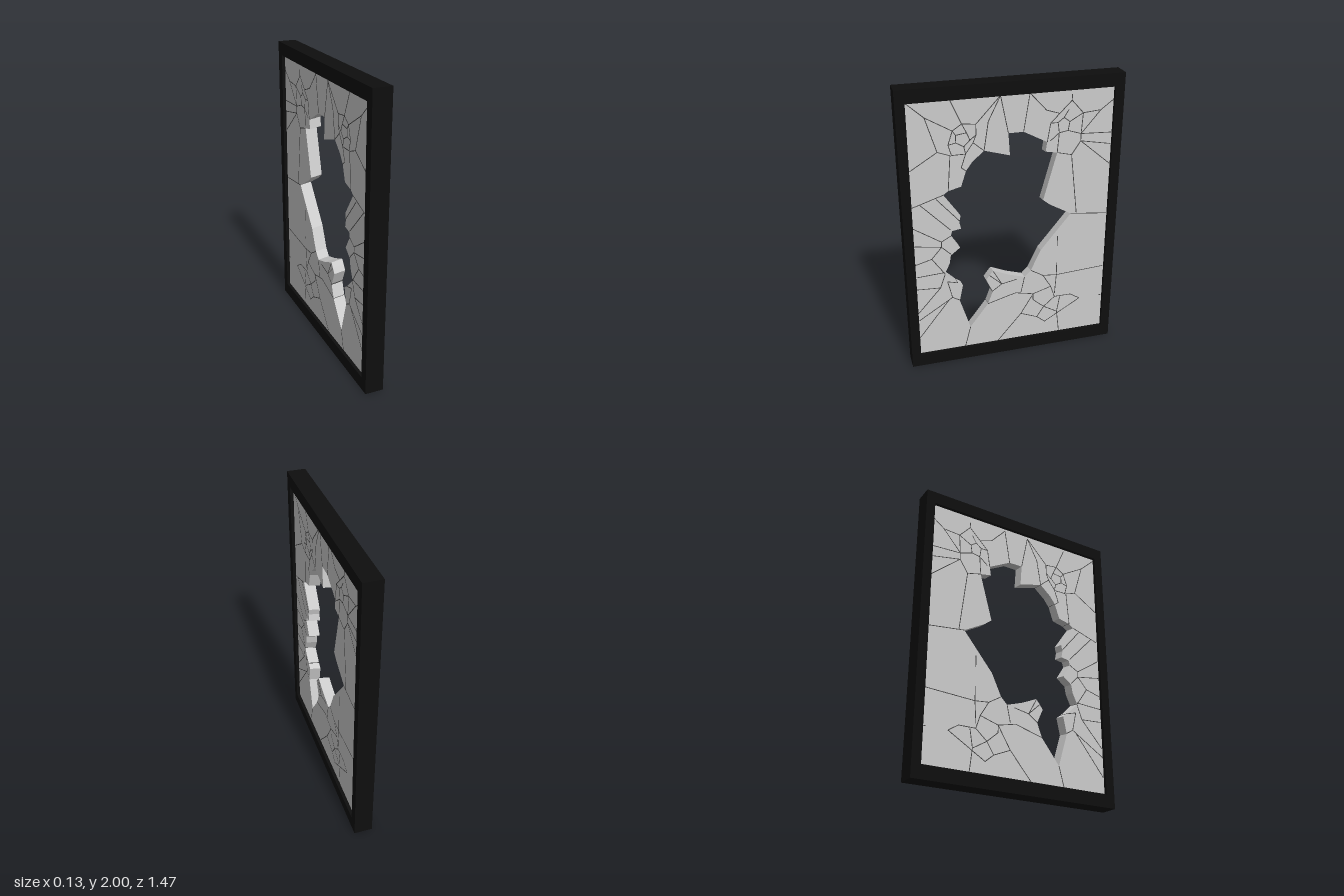
import * as THREE from 'three';
import { mergeGeometries } from 'three/addons/utils/BufferGeometryUtils.js';

const FRAME_DEPTH = 0.126, GLASS_DEPTH = 0.08;

// Outlines are drawn in hundredths as [u, y] pairs, where u runs toward -z.
const HOLE = [
  -3, 166, 7, 166, 23, 157.5, 22, 151, 30, 149.5, 21, 116.5, 26, 112.5, 41, 104,
  20, 78.5, 13, 63.5, 8.5, 59, -2.5, 62.5, -14, 67.5, -16.5, 64.5, -19, 61,
  -14.5, 51, -18, 41.5, -31, 24.5, -38, 47.5, -35.5, 59.5, -39, 62, -47.5, 70.5,
  -44, 78, -43, 84, -36.5, 89, -42.5, 98.5, -41.5, 102, -35.5, 103, -36.5, 108,
  -35.5, 112.5, -46.5, 128.5, -43, 131, -34.5, 133, -31, 143.5, -27, 149,
  -19, 156, -2, 151];

// Crack polylines, grouped by impact area
const CRACKS = {
  upperLeftCracks: [
    [-67, 191, -56, 181, -39, 171], [-56, 181, -49, 158], [-67, 147, -49, 158, -41, 155],
    [-40, 191, -33, 175], [-8, 191, -24, 174], [-8, 191, -3, 166], [-8, 191, -16, 175, -19, 156],
    [-39, 171, -33, 175, -24, 174, -24, 167, -26, 162, -31, 155, -40, 155, -42, 162, -39, 171],
    [-37, 168, -30, 169, -28, 164, -32, 160, -37, 163, -37, 168],
    [-37, 168, -39, 171], [-30, 169, -33, 175], [-28, 164, -24, 167], [-32, 160, -31, 155],
    [-37, 163, -42, 162], [-41, 155, -43, 131], [-31, 155, -34, 146, -31, 143.5],
    [-26, 162, -19, 156]],
  upperRightCracks: [
    [11, 191, 22, 179, 31, 176], [11, 191, 7, 166], [23, 157.5, 25, 170, 31, 176, 39, 184, 47, 175],
    [67, 182, 59, 176, 47, 175], [59, 176, 46, 161], [39, 184, 39, 188], [47, 175, 46, 161, 46, 156],
    [30, 170, 34, 173, 38, 170, 37, 164, 31, 163, 30, 170], [34, 173, 37, 178], [38, 170, 47, 175],
    [37, 164, 46, 161], [31, 163, 25, 158], [30, 170, 25, 170], [31, 163, 30, 150],
    [46, 161, 67, 160], [46, 156, 67, 152], [46, 156, 67, 138], [46, 156, 40, 147, 45, 104],
    [30, 149.5, 40, 147], [41, 104, 67, 101]],
  leftCracks: [
    [-67, 122, -62, 123.5, -46.5, 128.5], [-62, 123.5, -42.5, 103], [-51, 126, -36.5, 109],
    [-67, 107, -49, 95, -42.5, 98.5], [-49, 95, -49, 91, -43, 85], [-67, 94, -49, 91],
    [-67, 80, -56, 83, -49, 91], [-56, 83, -47.5, 70.5], [-67, 70.5, -47.5, 71.5],
    [-67, 61, -51, 60, -47.5, 70], [-67, 42, -51, 60], [-67, 36, -43, 51, -38, 48],
    [-67, 22, -45, 50], [-43, 51, -46, 64, -39, 62]],
  lowerCracks: [
    [-35, 9, -31, 24.5], [-11, 9, 6, 29, 15, 44], [-18, 41.5, 2, 47, 15, 44], [6, 47, 8.5, 59],
    [15, 44, 28, 48, 31, 39, 23, 32, 15, 39, 15, 44], [31, 39, 43, 39, 50, 34.5, 24, 19, 18, 24, 6, 29],
    [23, 32, 18, 24], [23, 32, 33, 26], [33, 26, 35, 9], [35, 38, 33, 26],
    [13, 63.5, 22, 58, 28, 48], [22, 58, 32, 57, 67, 59], [32, 57, 32, 67], [32, 57, 31, 42],
    [32, 80, 32, 88], [65, 34.5, 67, 34.5], [-16.5, 64, -8, 56, 3, 58], [-15, 51, -8, 56, -14, 67]],
};

const toPoints = (flat) => {
  const points = [];
  for (let i = 0; i < flat.length; i += 2) points.push(new THREE.Vector2(flat[i] / 100, flat[i + 1] / 100));
  return points;
};

const rectangle = (halfWidth, bottom, top) => [
  new THREE.Vector2(-halfWidth, bottom), new THREE.Vector2(halfWidth, bottom),
  new THREE.Vector2(halfWidth, top), new THREE.Vector2(-halfWidth, top)];

// Thick plate with one opening, centred on its depth
function plate(outline, hole, depth) {
  const shape = new THREE.Shape(outline);
  shape.holes.push(new THREE.Path(hole));
  return new THREE.ExtrudeGeometry(shape, { depth, bevelEnabled: false }).translate(0, 0, -depth / 2);
}

// The break leans slightly downward toward the rear face
function lean(geometry) {
  const p = geometry.attributes.position;
  for (let i = 0; i < p.count; i++) p.setY(i, p.getY(i) + (p.getZ(i) - GLASS_DEPTH / 2) * 0.16);
  geometry.computeVertexNormals();
  return geometry;
}

// Thin dark slivers along a polyline, just proud of both glass faces
function crackLine(flat) {
  const points = toPoints(flat);
  return points.slice(1).map((b, i) => {
    const a = points[i];
    return new THREE.BoxGeometry(a.distanceTo(b), 0.005, GLASS_DEPTH + 0.002)
      .rotateZ(Math.atan2(b.y - a.y, b.x - a.x))
      .translate((a.x + b.x) / 2, (a.y + b.y) / 2, 0);
  });
}

export function createModel() {
  const model = new THREE.Group();
  model.name = 'brokenWindow';
  const frameMaterial = new THREE.MeshStandardMaterial({ color: 0x0e0e0e });
  const glassMaterial = new THREE.MeshStandardMaterial({ color: 0xcccccc });
  const crackMaterial = new THREE.MeshStandardMaterial({ color: 0x444444 });

  const add = (name, geometry, material) => {
    const mesh = new THREE.Mesh(geometry.rotateY(Math.PI / 2), material);
    mesh.name = name;
    model.add(mesh);
  };

  // Frame and the shattered pane seated inside it
  add('frame', plate(rectangle(0.737, 0, 2), rectangle(0.674, 0.09, 1.912), FRAME_DEPTH), frameMaterial);
  add('brokenPane', lean(plate(rectangle(0.69, 0.07, 1.94), toPoints(HOLE), GLASS_DEPTH)), glassMaterial);

  // Cracks spreading from the impact areas
  for (const [name, lines] of Object.entries(CRACKS)) {
    add(name, lean(mergeGeometries(lines.flatMap(crackLine))), crackMaterial);
  }
  return model;
}
